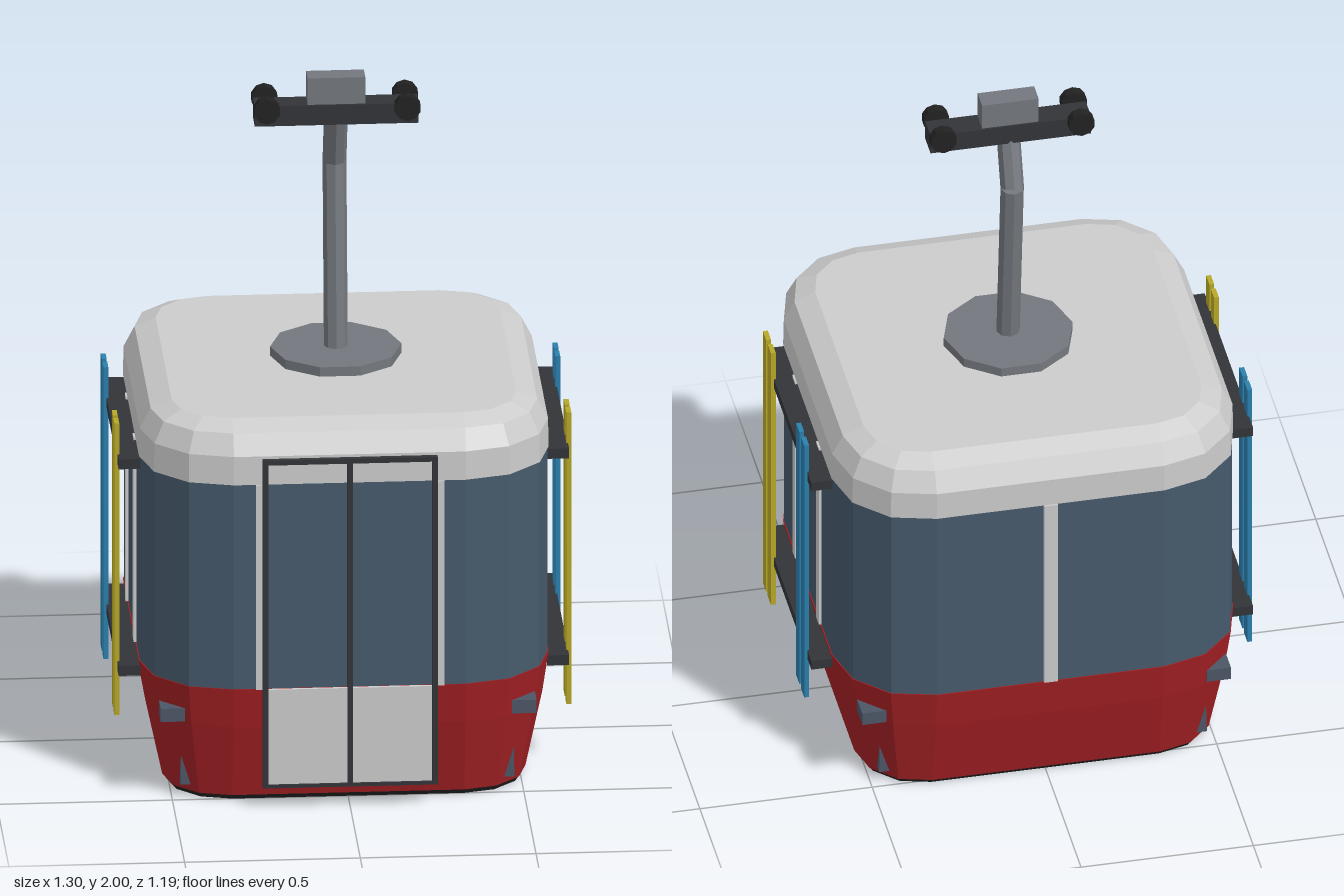
import * as THREE from 'three';

const mat = (color) => new THREE.MeshStandardMaterial({ color, flatShading: true });
const M = {
  grey: mat(0xcccccc), red: mat(0xa32024), glass: mat(0x465a6c), floor: mat(0x222222),
  dark: mat(0x333438), steel: mat(0x74787e), slate: mat(0x4c5666),
  yellow: mat(0xb8a828), blue: mat(0x2a80ae),
};

// Square outline with three-segment rounded corners; half = half width
function ring(half, y) {
  const c = 0.33, r = half - c, pts = [];
  for (let q = 0; q < 4; q++) {
    const sx = q === 0 || q === 3 ? c : -c, sz = q < 2 ? c : -c;
    for (let k = 0; k <= 3; k++) {
      const a = q * Math.PI / 2 + k * Math.PI / 6;
      pts.push([sx + r * Math.cos(a), y, sz + r * Math.sin(a)]);
    }
  }
  return pts;
}

// Stacks outlines given as [y, half] into a shell, closed at either end on request
function loft(profile, capBottom, capTop) {
  const rings = profile.map(([y, half]) => ring(half, y));
  const pos = [], n = rings[0].length;
  const tri = (...p) => p.forEach((v) => pos.push(...v));
  for (let i = 0; i < n; i++) {
    const j = (i + 1) % n;
    for (let k = 0; k < rings.length - 1; k++) {
      const lo = rings[k], hi = rings[k + 1];
      tri(lo[i], hi[i], lo[j]);
      tri(lo[j], hi[i], hi[j]);
    }
    const bottom = rings[0], top = rings[rings.length - 1];
    if (capBottom) tri([0, bottom[0][1], 0], bottom[i], bottom[j]);
    if (capTop) tri([0, top[0][1], 0], top[j], top[i]);
  }
  const geo = new THREE.BufferGeometry();
  geo.setAttribute('position', new THREE.Float32BufferAttribute(pos, 3));
  geo.computeVertexNormals();
  return geo;
}

function add(parent, name, geo, material, x = 0, y = 0, z = 0) {
  const mesh = new THREE.Mesh(geo, material);
  mesh.name = name;
  mesh.position.set(x, y, z);
  parent.add(mesh);
  return mesh;
}

// Box given by its extents on each axis
function box(parent, name, material, [x0, x1], [y0, y1], [z0, z1]) {
  return add(parent, name, new THREE.BoxGeometry(x1 - x0, y1 - y0, z1 - z0), material,
    (x0 + x1) / 2, (y0 + y1) / 2, (z0 + z1) / 2);
}

function part(parent, name) {
  const g = new THREE.Group();
  g.name = name;
  parent.add(g);
  return g;
}

// Straight tube between two points
function strut(parent, name, a, b, radius) {
  const dir = b.clone().sub(a);
  const mesh = add(parent, name, new THREE.CylinderGeometry(radius, radius, dir.length(), 8), M.steel);
  mesh.position.copy(a).add(b).multiplyScalar(0.5);
  mesh.quaternion.setFromUnitVectors(new THREE.Vector3(0, 1, 0), dir.normalize());
}

export function createModel() {
  const model = new THREE.Group();
  model.name = 'cableCar';
  const all = part(model, 'assembly');
  all.position.z = -0.005;

  // Cabin shell
  const cabin = part(all, 'cabin');
  add(cabin, 'floor', loft([[0, 0.505], [0.015, 0.515]], true, true), M.floor);
  add(cabin, 'lowerBody', loft([[0.015, 0.517], [0.24, 0.565], [0.36, 0.583]], true, true), M.red);
  add(cabin, 'windowBand', loft([[0.36, 0.58], [0.98, 0.58]], true, true), M.glass);
  add(cabin, 'roof', loft([[0.98, 0.583], [1.065, 0.581], [1.125, 0.55], [1.15, 0.49]], true, true), M.grey);

  // Window posts
  const postY = [0.36, 0.98];
  box(cabin, 'backPost', M.grey, [-0.02, 0.02], postY, [-0.588, -0.57]);
  for (const s of [-1, 1]) {
    box(cabin, 'frontPost', M.grey, [s * 0.255 - 0.013, s * 0.255 + 0.013], postY, [0.57, 0.59]);
    for (const z of [-0.163, 0.163]) {
      box(cabin, 'sidePost', M.grey, [s * 0.579 - 0.009, s * 0.579 + 0.009], postY, [z - 0.018, z + 0.018]);
    }
  }

  // Double door: lower panels and a frame with a centre bar
  const door = part(all, 'door');
  const depth = [0.58, 0.598];
  for (const s of [-1, 1]) {
    box(door, 'doorPanel', M.grey, [s * 0.123 - 0.118, s * 0.123 + 0.118], [0.07, 0.36], [0.582, 0.592]);
  }
  for (const x of [-0.241, 0, 0.241]) {
    box(door, 'doorUpright', M.dark, [x - 0.008, x + 0.008], [0.065, 1.055], depth);
  }
  box(door, 'doorTopRail', M.dark, [-0.249, 0.249], [1.043, 1.057], depth);
  box(door, 'doorBottomRail', M.dark, [-0.249, 0.249], [0.063, 0.073], depth);

  // Ski racks with two pairs of skis on each side
  for (const s of [-1, 1]) {
    const rack = part(all, s > 0 ? 'leftSkiRack' : 'rightSkiRack');
    for (const y of [0.33, 0.957]) {
      box(rack, 'rackBar', M.dark, [s * 0.61 - 0.031, s * 0.61 + 0.031], [y - 0.015, y + 0.015], [-0.328, 0.332]);
    }
    for (const z of [0.268, 0.203, -0.185, -0.252]) {
      box(rack, 'ski', z > 0 ? M.yellow : M.blue,
        [s * 0.643 - 0.007, s * 0.643 + 0.007], [0.18, 1.065], [z - 0.022, z + 0.022]);
    }
  }

  // Corner bumpers and pointed fins that lean out to the corner
  for (const sx of [-1, 1]) {
    for (const sz of [-1, 1]) {
      add(all, 'cornerBumper', new THREE.BoxGeometry(0.07, 0.04, 0.07), M.slate, sx * 0.5, 0.265, sz * 0.49);
      const fin = new THREE.ConeGeometry(0.039, 0.12, 4).rotateY(Math.PI / 4);
      const p = fin.attributes.position;
      for (let i = 0; i < p.count; i++) {
        const lean = (p.getY(i) + 0.06) / 0.12 * 0.025;
        p.setX(i, p.getX(i) + sx * lean);
        p.setZ(i, p.getZ(i) + sz * lean);
      }
      fin.computeVertexNormals();
      add(all, 'cornerFin', fin, M.slate, sx * 0.448, 0.095, sz * 0.448);
    }
  }

  // Hanger arm on its roof plate
  const hanger = part(all, 'hanger');
  add(hanger, 'roofPlate', new THREE.CylinderGeometry(0.187, 0.187, 0.03, 10).rotateY(Math.PI / 10), M.steel, 0, 1.163, 0);
  const foot = new THREE.Vector3(0, 1.16, 0.003), knee = new THREE.Vector3(0, 1.72, -0.055);
  strut(hanger, 'lowerArm', foot, knee, 0.034);
  strut(hanger, 'upperArm', knee, new THREE.Vector3(0, 1.88, 0.003), 0.034);

  // Cable grip with four wheels
  const grip = part(all, 'grip');
  box(grip, 'crossBar', M.dark, [-0.233, 0.233], [1.86, 1.92], [-0.037, 0.037]);
  box(grip, 'clamp', M.steel, [-0.082, 0.082], [1.92, 2], [-0.031, 0.031]);
  for (const x of [-0.2, 0.2]) {
    for (const z of [-0.052, 0.052]) {
      add(grip, 'wheel', new THREE.CylinderGeometry(0.038, 0.038, 0.03, 10).rotateX(Math.PI / 2), M.floor, x, 1.915, z);
    }
  }
  return model;
}
